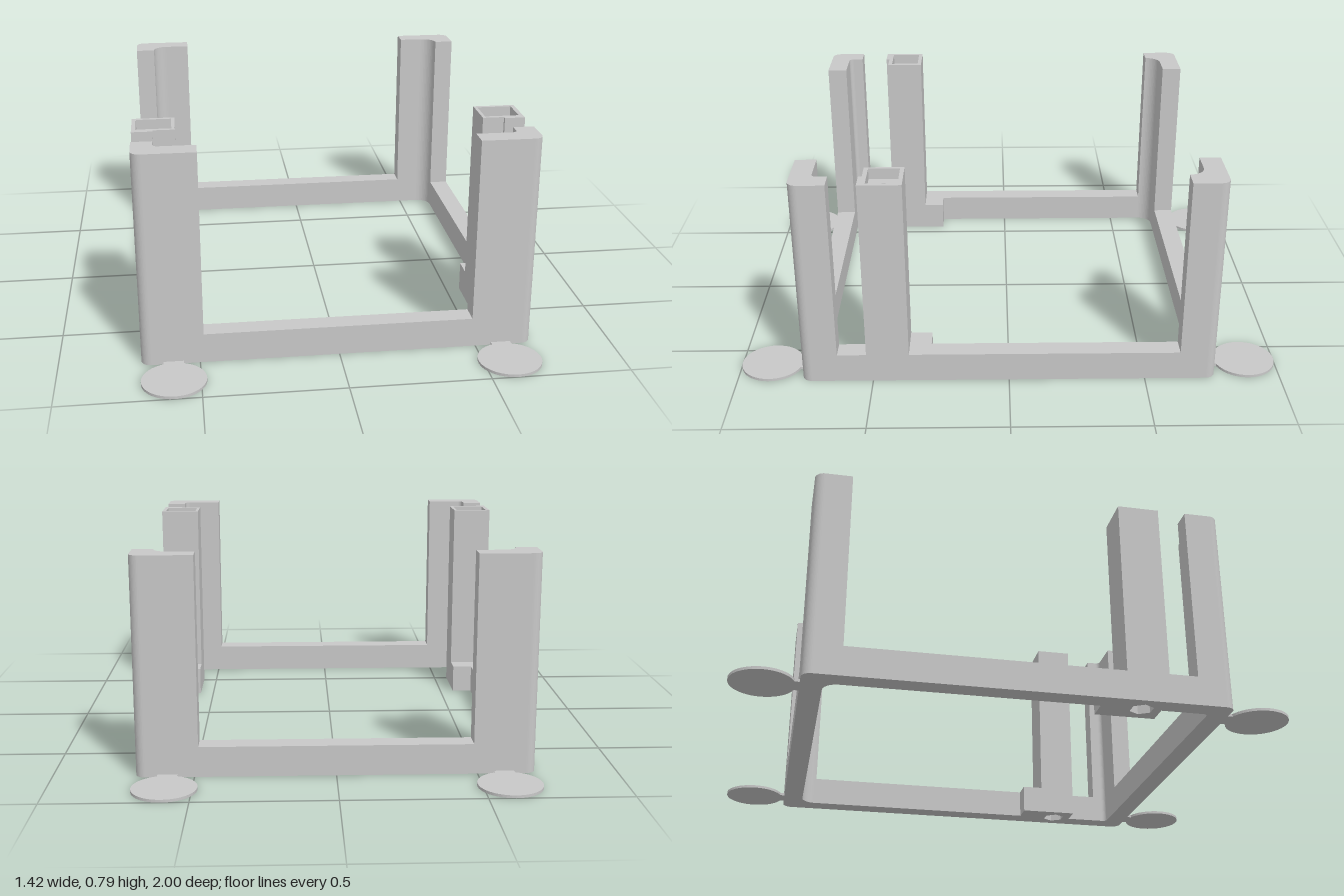
import * as THREE from 'three';

const H = 0.79, RAIL = 0.11, NUT = 0.05, POCKET = 0.04;
const X = 0.708, XI = 0.633, ZF = 0.761, ZB = -0.761, ZFI = 0.684, ZBI = -0.684;
const R = 0.035, RF = 0.018, RB = 0.055; // outer, inner front, inner back corner radii

// Closed counter-clockwise plan outline from [x, z, cornerRadius] points
function outline(points, Kind = THREE.Shape) {
  const path = new Kind();
  let pts = points.map(([x, z, r = 0]) => ({ p: new THREE.Vector2(x, -z), r }));
  if (THREE.ShapeUtils.area(pts.map((q) => q.p)) < 0) pts = pts.reverse();
  const n = pts.length;
  pts.forEach(({ p, r }, i) => {
    const toward = (q, d) => p.clone().add(q.p.clone().sub(p).setLength(d));
    const prev = pts[(i + n - 1) % n], next = pts[(i + 1) % n];
    const a = toward(prev, r), b = toward(next, r);
    if (i === 0) path.moveTo(a.x, a.y);
    else path.lineTo(a.x, a.y);
    if (r > 0) {
      const c = toward(prev, r * 0.448), d = toward(next, r * 0.448);
      path.bezierCurveTo(c.x, c.y, d.x, d.y, b.x, b.y);
    }
  });
  path.closePath();
  return path;
}

// Regular polygon or circle hole
const ringHole = (x, z, r, sides) => outline(
  Array.from({ length: sides }, (_, i) => {
    const a = (i / sides) * Math.PI * 2;
    return [x + r * Math.cos(a), z + r * Math.sin(a)];
  }), THREE.Path);

const rect = (x0, x1, z0, z1) => [[x0, z0], [x1, z0], [x1, z1], [x0, z1]];

export function createModel() {
  const group = new THREE.Group();
  const grey = new THREE.MeshStandardMaterial({ color: 0xc8c8c8 });
  grey.name = 'grey plastic';

  function slab(name, shape, y0, y1) {
    const g = new THREE.ExtrudeGeometry(shape, { depth: y1 - y0, bevelEnabled: false, curveSegments: 12 });
    g.rotateX(-Math.PI / 2);
    g.translate(0, y0, 0);
    const mesh = new THREE.Mesh(g, grey);
    mesh.name = name;
    group.add(mesh);
  }

  // Base frame, widened inward under each tower, with nut and screw holes
  const bump = [[XI, 0.286], [0.555, 0.286], [0.555, 0.509], [XI, 0.509]];
  const innerRight = [[XI, ZBI, RB], ...bump, [XI, ZFI, RF]];
  const inner = [...innerRight, ...innerRight.map(([x, z, r]) => [-x, z, r]).reverse()];
  const frame = (r, sides) => {
    const s = outline([[X, ZB, R], [X, ZF, R], [-X, ZF, R], [-X, ZB, R]]);
    s.holes.push(outline(inner, THREE.Path));
    for (const m of [1, -1]) s.holes.push(ringHole(m * 0.63, 0.438, r, sides));
    return s;
  };
  slab('frameLower', frame(0.044, 6), 0, NUT);
  slab('frameUpper', frame(0.028, 24), NUT, RAIL);

  for (const m of [1, -1]) {
    const side = m > 0 ? 'Left' : 'Right';
    const flip = (pts) => pts.map(([x, z, r]) => [m * x, z, r]);

    // L-shaped corner posts
    for (const [end, zo, zi, ze, ri] of [['front', ZF, ZFI, 0.628, RF], ['back', ZB, ZBI, -0.627, RB]]) {
      slab(end + side + 'Post', outline(flip([
        [X, zo, R], [X, ze], [XI, ze], [XI, zi, ri], [0.485, zi], [0.485, zo],
      ])), RAIL, H);

      // Thin round foot pad with its neck
      const s = Math.sign(zo), px = 0.594, pz = s * 0.886, r = 0.114, w = 0.036;
      const a0 = Math.asin(w / r);
      const pad = [[px - w, zo - s * 0.01], [px + w, zo - s * 0.01]];
      for (let i = 0; i <= 40; i++) {
        const a = a0 + (i / 40) * (Math.PI * 2 - 2 * a0);
        pad.push([px + r * Math.sin(a), pz - s * r * Math.cos(a)]);
      }
      slab(end + side + 'FootPad', outline(flip(pad)), 0, 0.01);
    }

    // Square tower with a screw shaft and a shallow square pocket on top
    const tower = (hole) => {
      const s = outline(flip([
        [X, 0.366], [X, 0.522], [XI, 0.522], [XI, 0.509], [0.555, 0.509], [0.555, 0.366],
      ]));
      s.holes.push(hole);
      return s;
    };
    slab('tower' + side, tower(ringHole(m * 0.63, 0.438, 0.028, 24)), RAIL, H - POCKET);
    const pocket = outline(flip(rect(0.567, 0.693, 0.381, 0.493)), THREE.Path);
    slab('towerRim' + side, tower(pocket), H - POCKET, H);
  }
  return group;
}
